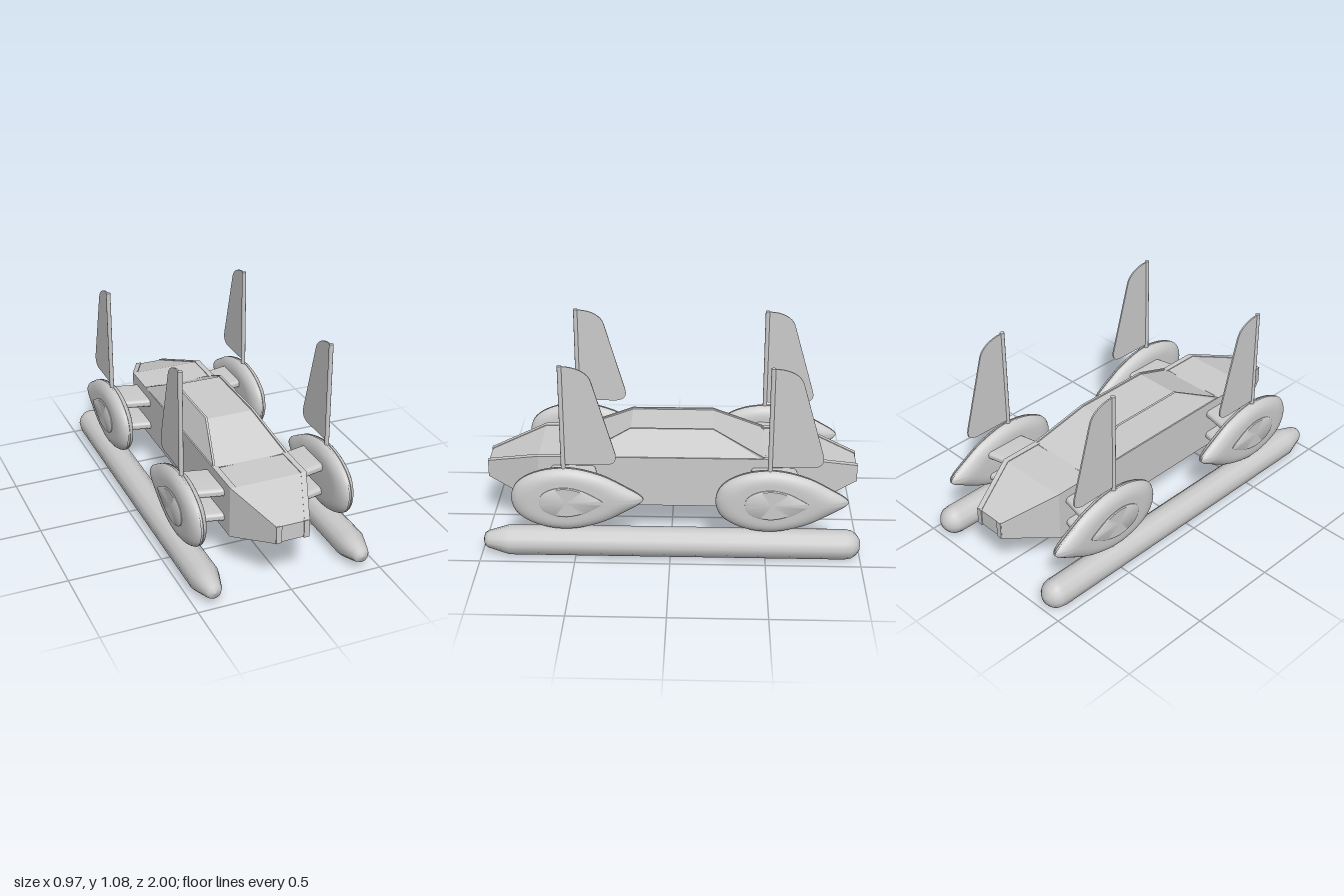
import * as THREE from 'three';
import { toCreasedNormals } from 'three/addons/utils/BufferGeometryUtils.js';

const material = new THREE.MeshStandardMaterial({ color: 0xcccccc, side: THREE.DoubleSide });

function add(parent, name, geometry, x = 0, y = 0, z = 0) {
  const mesh = new THREE.Mesh(geometry, material);
  mesh.name = name;
  mesh.position.set(x, y, z);
  parent.add(mesh);
  return mesh;
}

// Skins a row of closed rings ([x, y, z] points, counter-clockwise seen from the last ring).
function loft(rings, crease) {
  const n = rings[0].length;
  const index = [];
  for (let k = 0; k < rings.length - 1; k++) {
    for (let j = 0; j < n; j++) {
      const a = k * n + j, b = k * n + (j + 1) % n;
      index.push(a, b, b + n, a, b + n, a + n);
    }
  }
  const geometry = new THREE.BufferGeometry();
  geometry.setAttribute('position', new THREE.Float32BufferAttribute(rings.flat(2), 3));
  geometry.setIndex(index);
  return toCreasedNormals(geometry, crease);
}

// Closes a loft by collapsing its first and last ring to a point.
function capped(rings) {
  const collapse = (ring) => {
    const c = [0, 1, 2].map((i) => ring.reduce((s, p) => s + p[i], 0) / ring.length);
    return ring.map(() => c);
  };
  return [collapse(rings[0]), ...rings, collapse(rings[rings.length - 1])];
}

// Body cross-section whose side walls stand slightly proud of the top and bottom panels.
function bodyRing(z, wb, wt, yb, yt, rail, depth) {
  const half = [
    [wb - rail, yb + depth], [wb - rail, yb], [wb, yb],
    [wt, yt], [wt - rail, yt], [wt - rail, yt - depth],
  ];
  const other = half.map(([x, y]) => [-x, y]).reverse();
  return [...half, ...other].map(([x, y]) => [x, y, z]);
}

// Teardrop outline, blunt end towards +z.
const upper = [[0.262, 0.085], [0.165, 0.15], [0, 0.178], [-0.18, 0.138], [-0.31, 0.07], [-0.385, 0.022]];
const outline = [[0.29, 0], ...upper, [-0.4, 0], ...upper.map(([z, y]) => [z, -y]).reverse()];
const teardrop = new THREE.CatmullRomCurve3(
  outline.map(([z, y]) => new THREE.Vector3(0, y, z)), true).getPoints(64).slice(0, 64).reverse();
const dropRing = ([x, s]) => teardrop.map((p) => [x, p.y * s, p.z * s]);

// Pod: rounded rim with a fine seam around the middle.
function podGeometry() {
  const side = [[0.006, 0.978], [0.006, 1]];
  for (let i = 1; i <= 9; i++) {
    const a = (i / 9) * Math.PI / 2;
    side.push([0.048 * Math.sin(a), 0.62 + 0.38 * Math.cos(a)]);
  }
  side.push([0.05, 0.3], [0.05, 0]);
  const back = side.map(([x, s]) => [-x, s]).reverse();
  return loft([...back, ...side].map(dropRing), 0.6);
}

function padGeometry(s) {
  const steps = [[0.04, 0.48], [0.053, 0.48], [0.057, 0.45], [0.057, 0]];
  const rings = steps.map(([x, k]) => dropRing([x * s, k]));
  return loft(s > 0 ? rings : rings.reverse(), 0.6);
}

// Flat bar with rounded edges, swept backwards as it goes outwards.
function strutGeometry(s) {
  const r = 0.022, l = 0.12 - r;
  const shape = new THREE.Shape();
  shape.moveTo(-l, -r);
  shape.lineTo(l, -r);
  shape.absarc(l, 0, r, -Math.PI / 2, Math.PI / 2);
  shape.lineTo(-l, r);
  shape.absarc(-l, 0, r, Math.PI / 2, Math.PI * 1.5);
  const g = new THREE.ExtrudeGeometry(shape, { depth: 0.19, bevelEnabled: false, curveSegments: 8 });
  g.translate(0, 0, -0.095).rotateY(Math.PI / 2);
  const p = g.attributes.position;
  for (let i = 0; i < p.count; i++) p.setZ(i, p.getZ(i) - 0.23 * s * p.getX(i));
  return toCreasedNormals(g, 0.7);
}

// Upright fin plate; its leading edge lies at z = 0.
function finGeometry() {
  const shape = new THREE.Shape();
  shape.moveTo(0, 0.53);
  shape.lineTo(0, 1.075);
  shape.bezierCurveTo(0.08, 1.075, 0.135, 1.04, 0.148, 0.995);
  shape.lineTo(0.262, 0.6);
  shape.quadraticCurveTo(0.28, 0.535, 0.21, 0.53);
  shape.closePath();
  const g = new THREE.ExtrudeGeometry(shape, { depth: 0.008, bevelEnabled: false, curveSegments: 8 });
  return g.translate(0, 0, -0.004).rotateY(Math.PI / 2);
}

function floatGeometry() {
  const profile = [[0, -1], [0.032, -0.994], [0.058, -0.975], [0.074, -0.95], [0.08, -0.915],
    [0.08, 0.85], [0.047, 0.96], [0.035, 0.98], [0, 0.99]];
  const g = new THREE.LatheGeometry(profile.map(([r, y]) => new THREE.Vector2(r, y)), 12);
  return g.rotateX(Math.PI / 2);
}

export function createModel() {
  const model = new THREE.Group();
  model.name = 'vehicle';

  // Hull with tapered ends
  const hull = [[-0.995, 0.091, 0.289, 0.386], [-0.71, 0.21, 0.19, 0.475],
    [0.71, 0.21, 0.19, 0.475], [0.995, 0.091, 0.289, 0.386]];
  add(model, 'hull', loft(capped(hull.map(([z, w, yb, yt]) => bodyRing(z, w, w, yb, yt, 0.03, 0.004))), 0.1));
  for (const sx of [-1, 1]) {
    for (const sz of [-1, 1]) {
      add(model, 'endPost', new THREE.BoxGeometry(0.03, 0.096, 0.012), sx * 0.075, 0.3375, sz * 0.994);
    }
  }

  // Canopy with raised side rails
  const canopy = [[-0.5, 0.21, 0.475], [-0.22, 0.138, 0.612], [0.22, 0.138, 0.612], [0.5, 0.21, 0.475]];
  add(model, 'canopy', loft(capped(canopy.map(([z, w, yt]) => bodyRing(z, 0.21, w, 0.46, yt, 0.012, 0.008))), 0.1));

  // Running gear on both sides: one float, two pods with struts and fins
  for (const s of [-1, 1]) {
    const x = s * 0.405;
    add(model, 'float', floatGeometry(), x, 0.08, 0);
    for (const z of [0.54, -0.525]) {
      const unit = new THREE.Group();
      unit.name = z > 0 ? 'frontPodUnit' : 'rearPodUnit';
      unit.position.set(x, 0, z);
      model.add(unit);
      add(unit, 'pod', podGeometry(), 0, 0.333, 0);
      add(unit, 'podCover', padGeometry(s), 0, 0.333, 0);
      for (const y of [0.403, 0.26]) add(unit, 'strut', strutGeometry(s), s * -0.12, y, -0.035);
      add(unit, 'finMast', new THREE.CylinderGeometry(0.012, 0.012, 0.588, 10), 0, 0.784, 0.012);
      add(unit, 'fin', finGeometry(), 0, 0, 0.005);
    }
  }
  return model;
}
